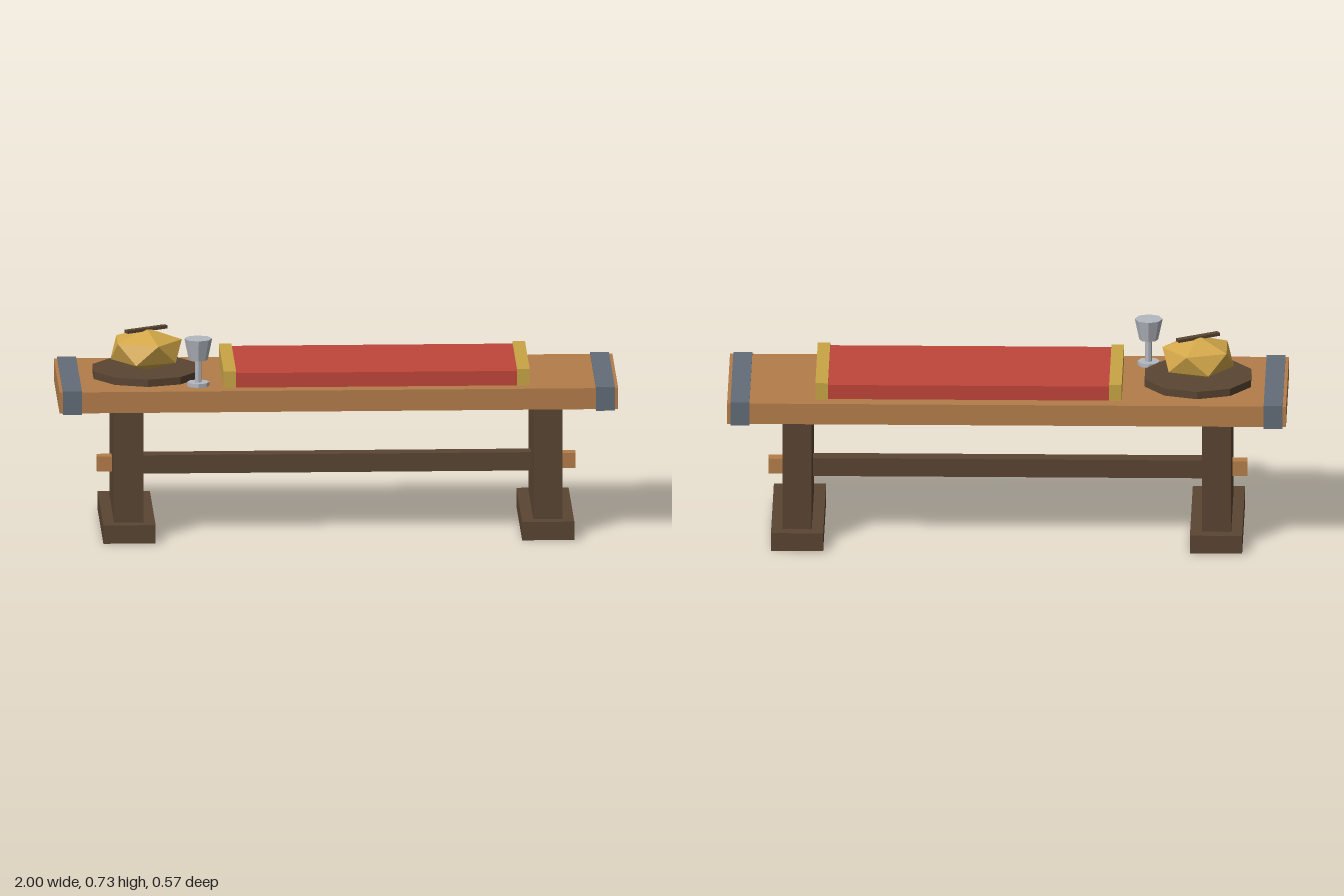
import * as THREE from 'three';

const mat = (name, color) => {
  const m = new THREE.MeshStandardMaterial({ color, flatShading: true });
  m.name = name;
  return m;
};

export function createModel() {
  const wood = mat('wood', 0xb47e4a);
  const darkWood = mat('darkWood', 0x5a4532);
  const iron = mat('iron', 0x626c78);
  const red = mat('redCloth', 0xc0453a);
  const trim = mat('goldTrim', 0xc8a545);
  const brass = mat('brass', 0xd4a84a);
  const silver = mat('silver', 0xb4b8c0);

  const model = new THREE.Group();
  model.name = 'ceremonialTable';

  const add = (name, geometry, material, x, y, z, parent = model) => {
    const mesh = new THREE.Mesh(geometry, material);
    mesh.name = name;
    mesh.position.set(x, y, z);
    parent.add(mesh);
    return mesh;
  };
  // Box given by its x, y and z ranges
  const box = (name, material, [x0, x1], [y0, y1], [z0, z1]) =>
    add(name, new THREE.BoxGeometry(x1 - x0, y1 - y0, z1 - z0), material,
      (x0 + x1) / 2, (y0 + y1) / 2, (z0 + z1) / 2);

  // Table top and lower beam
  box('tableTop', wood, [-1, 1], [0.479, 0.556], [-0.278, 0.278]);
  box('stretcher', darkWood, [-0.7, 0.7], [0.2, 0.267], [-0.03, 0.03]);

  // Trestles, feet, wedge pegs and iron end bands
  for (const s of [-1, 1]) {
    const side = s > 0 ? 'left' : 'right';
    const span = (a, b) => (s > 0 ? [a, b] : [-b, -a]);
    box(side + 'Leg', darkWood, span(0.698, 0.803), [0.06, 0.48], [-0.232, 0.232]);
    box(side + 'Foot', darkWood, span(0.656, 0.843), [0, 0.067], [-0.278, 0.278]);
    box(side + 'Peg', wood, span(0.79, 0.857), [0.207, 0.262], [-0.024, 0.024]);
    box(side + 'Band', iron, span(0.92, 0.988), [0.474, 0.561], [-0.283, 0.283]);
  }

  // Cushioned cloth with gold end bars
  box('cloth', red, [-0.368, 0.642], [0.55, 0.609], [-0.222, 0.222]);
  box('clothTrimRight', trim, [-0.411, -0.366], [0.55, 0.617], [-0.227, 0.227]);
  box('clothTrimLeft', trim, [0.64, 0.685], [0.55, 0.617], [-0.227, 0.227]);

  // Covered dish: tray, faceted dome and handle
  const dish = new THREE.Group();
  dish.name = 'dish';
  dish.position.set(-0.68, 0, 0);
  model.add(dish);
  add('tray', new THREE.CylinderGeometry(0.2, 0.2, 0.03, 10), darkWood, 0, 0.568, 0, dish);
  const dome = new THREE.IcosahedronGeometry(0.143, 0);
  dome.rotateZ(-Math.atan(2 / (1 + Math.sqrt(5)))); // stand it on a corner
  dome.scale(1, 0.55, 1);
  add('dome', dome, brass, 0, 0.65, 0, dish);
  add('handle', new THREE.BoxGeometry(0.168, 0.011, 0.023), darkWood, 0, 0.7235, 0, dish)
    .rotation.y = 0.52;

  // Goblet
  const goblet = new THREE.Group();
  goblet.name = 'goblet';
  goblet.position.set(-0.5, 0, 0.184);
  model.add(goblet);
  add('gobletBase', new THREE.CylinderGeometry(0.04, 0.04, 0.014, 8), silver, 0, 0.563, 0, goblet);
  add('gobletStem', new THREE.CylinderGeometry(0.0125, 0.0125, 0.09, 8), silver, 0, 0.612, 0, goblet);
  add('gobletCup', new THREE.CylinderGeometry(0.05, 0.034, 0.077, 8), silver, 0, 0.6905, 0, goblet);

  return model;
}
